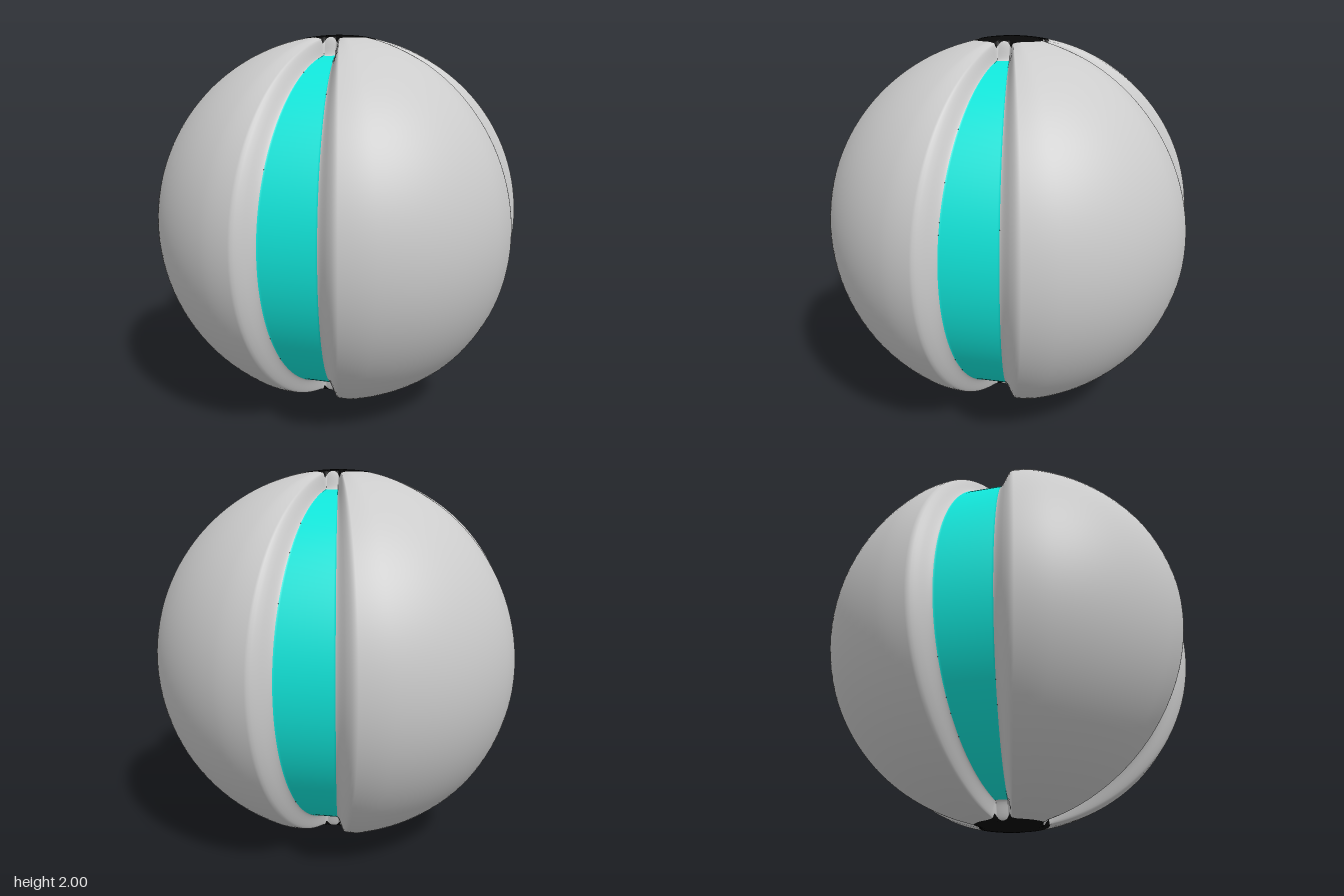
import * as THREE from 'three';

const RAD = Math.PI / 180;
const EDGE = 9.2;          // half width of a groove floor, degrees of azimuth
const FLOOR_END = 0.221;   // polar angle where a groove floor stops
const QUARTERS = 4;
const { smoothstep } = THREE.MathUtils;

// Signed azimuth in degrees from the nearest groove centre
const fromGroove = (deg) => deg - 90 * Math.round(deg / 90);

// Distance of the surface from the centre: sphere minus four rounded grooves
function radius(theta, deg) {
  const a = Math.abs(fromGroove(deg));
  const s2 = Math.sin(theta) ** 2;
  const lobe = 1 - 0.005 * s2;
  const floor = (0.885 + 0.028 * (1 - s2)) * (1 + 0.5 * (Math.min(a, 12) * RAD) ** 2 * s2);
  const wall = 1 - 0.84 * smoothstep(a, 8.7, 14.8) - 0.16 * smoothstep(a, 8.7, 25);
  const end = smoothstep(Math.min(theta, Math.PI - theta), 0.16, 0.222);
  return lobe - (lobe - floor) * wall * end;
}

// Edge of the dark cap, notched where a groove runs into it
function capEdge(deg) {
  const t = Math.min(1, Math.abs(fromGroove(deg)) / 11.5);
  return 0.196 - 0.03 * Math.sqrt(1 - t * t);
}

// Smooth normal: gradient of |p| - radius(direction of p)
function normalAt(p) {
  const f = (x, y, z) => {
    const len = Math.hypot(x, y, z);
    return len - radius(Math.acos(y / len), Math.atan2(x, z) / RAD);
  };
  const e = 0.001;
  return new THREE.Vector3(
    f(p.x + e, p.y, p.z) - f(p.x - e, p.y, p.z),
    f(p.x, p.y + e, p.z) - f(p.x, p.y - e, p.z),
    f(p.x, p.y, p.z + e) - f(p.x, p.y, p.z - e)
  ).normalize();
}

// Packs grid lines more tightly towards both ends
const ease = (t) => t - (0.8 * Math.sin(2 * Math.PI * t)) / (2 * Math.PI);

// Piece of the surface between two azimuths and two polar-angle limits
function patch(name, material, deg0, deg1, top, bottom, cols, rows) {
  const positions = [], normals = [], index = [];
  for (let j = 0; j <= rows; j++) {
    for (let i = 0; i <= cols; i++) {
      const deg = deg0 + (deg1 - deg0) * ease(i / cols);
      const theta = THREE.MathUtils.lerp(top(deg), bottom(deg), ease(j / rows));
      const p = new THREE.Vector3().setFromSphericalCoords(radius(theta, deg), theta, deg * RAD);
      const n = normalAt(p);
      positions.push(p.x, p.y + 1, p.z);
      normals.push(n.x, n.y, n.z);
      if (i < cols && j < rows) {
        const a = j * (cols + 1) + i, c = a + cols + 1;
        index.push(a, c, a + 1, a + 1, c, c + 1);
      }
    }
  }
  const geometry = new THREE.BufferGeometry();
  geometry.setAttribute('position', new THREE.Float32BufferAttribute(positions, 3));
  geometry.setAttribute('normal', new THREE.Float32BufferAttribute(normals, 3));
  geometry.setIndex(index);
  const mesh = new THREE.Mesh(geometry, material);
  mesh.name = name;
  return mesh;
}

export function createModel() {
  const model = new THREE.Group();
  model.name = 'groovedBall';
  const grey = new THREE.MeshStandardMaterial({ color: 0xcccccc });
  const cyan = new THREE.MeshStandardMaterial({ color: 0x11e6da });
  const black = new THREE.MeshStandardMaterial({ color: 0x080808 });

  const parts = {};
  for (const name of ['shell', 'groovePanels', 'topCap', 'bottomCap']) {
    parts[name] = new THREE.Group();
    parts[name].name = name;
    model.add(parts[name]);
  }

  // Polar-angle limits, and their mirror images at the lower pole
  const pole = () => 0;
  const floorEnd = () => FLOOR_END;
  const low = (limit) => (deg) => Math.PI - limit(deg);

  for (let q = 0; q < QUARTERS; q++) {
    const g = q * 90, g0 = g - EDGE, g1 = g + EDGE, next = g + 90 - EDGE;

    // Bulging lobe between two grooves
    parts.shell.add(patch('lobe', grey, g1, next, capEdge, low(capEdge), 64, 90));

    // Coloured groove floor and the grey walls closing its ends
    parts.groovePanels.add(patch('groovePanel', cyan, g0, g1, floorEnd, low(floorEnd), 16, 90));
    parts.shell.add(patch('grooveEndTop', grey, g0, g1, capEdge, floorEnd, 16, 12));
    parts.shell.add(patch('grooveEndBottom', grey, g0, g1, low(floorEnd), low(capEdge), 16, 12));

    // Dark pole caps, using the same columns as the shell
    for (const [a, b, cols] of [[g0, g1, 16], [g1, next, 64]]) {
      parts.topCap.add(patch('topCapSegment', black, a, b, pole, capEdge, cols, 8));
      parts.bottomCap.add(patch('bottomCapSegment', black, a, b, low(capEdge), low(pole), cols, 8));
    }
  }
  return model;
}
